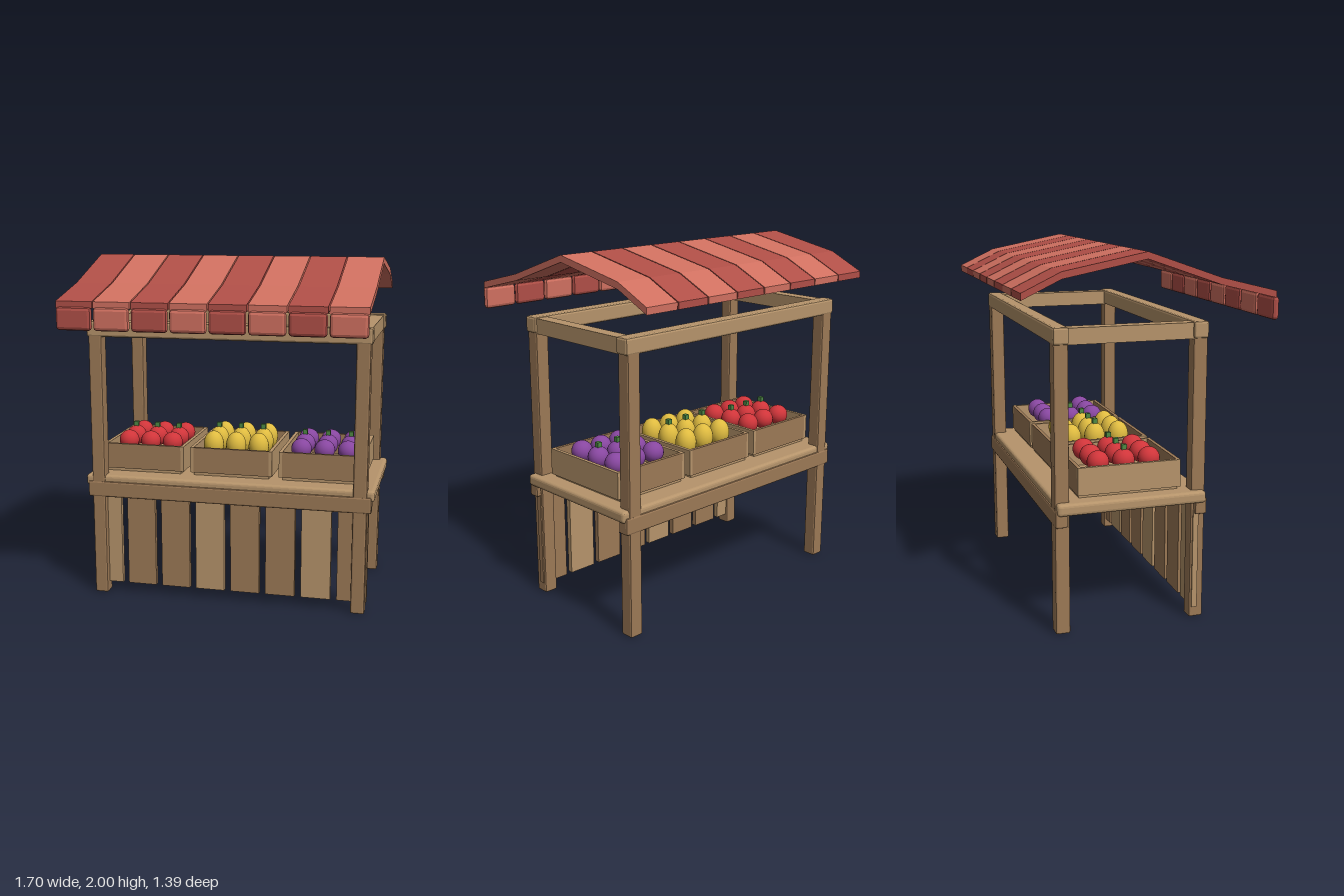
import * as THREE from 'three';
import { RoundedBoxGeometry } from 'three/addons/geometries/RoundedBoxGeometry.js';

const mat = (color, flatShading = false) => new THREE.MeshStandardMaterial({ color, flatShading });

export function createModel() {
  const model = new THREE.Group();
  const darkWood = mat(0x9c7956, true), lightWood = mat(0xb6946b, true);
  const darkCloth = mat(0xb04f47, true), lightCloth = mat(0xd07060, true);
  const stemGreen = mat(0x4f8a45, true);

  const add = (name, geometry, material, x, y, z, parent = model) => {
    const mesh = new THREE.Mesh(geometry, material);
    mesh.name = name;
    mesh.position.set(x, y, z);
    parent.add(mesh);
    return mesh;
  };
  const box = (w, h, d) => new THREE.BoxGeometry(w, h, d);
  const chamfered = (w, h, d, r, segments = 1) => new RoundedBoxGeometry(w, h, d, segments, r);

  const postX = 0.77, frontZ = 0.265, backZ = -0.487;
  const midZ = (frontZ + backZ) / 2;

  // Frame: four posts joined by beams at the top
  for (const z of [frontZ, backZ]) {
    const end = z === frontZ ? 'front' : 'back';
    for (const s of [-1, 1]) {
      add(end + (s > 0 ? 'LeftPost' : 'RightPost'), chamfered(0.08, 1.62, 0.08, 0.01), darkWood, s * postX, 0.81, z);
    }
    add(end + 'TopBeam', chamfered(1.64, 0.09, 0.084, 0.012), lightWood, 0, 1.592, z);
    // Apron under the counter, a little proud of the posts
    const out = z === frontZ ? 1 : -1;
    add(end + 'Apron', chamfered(1.67, 0.095, 0.066, 0.01), darkWood, 0, 0.645, z + out * 0.01);
  }
  for (const s of [-1, 1]) {
    add(s > 0 ? 'leftTopBeam' : 'rightTopBeam', box(0.075, 0.085, frontZ - backZ), lightWood, s * postX, 1.588, midZ);
  }

  // Counter
  add('counterTop', chamfered(1.7, 0.065, 0.82, 0.018, 2), lightWood, 0, 0.696, midZ);

  // Front planks
  for (let i = 0; i < 8; i++) {
    add('frontPlank', box(0.172, 0.56, 0.03), i % 3 === 0 ? lightWood : darkWood, (i - 3.5) * 0.209, 0.34, 0.253);
  }

  // Crates of fruit
  const crateZ = -0.108, crateW = 0.49, crateD = 0.57, wall = 0.02;
  const stock = [
    { name: 'redFruit', color: 0xd0353a, height: 0.06 },
    { name: 'yellowFruit', color: 0xdfbb40, height: 0.08 },
    { name: 'purpleFruit', color: 0x8847a0, height: 0.06 },
  ];
  stock.forEach(({ name, color, height }, i) => {
    const crate = new THREE.Group();
    crate.name = name + 'Crate';
    crate.position.set((i - 1) * 0.53, 0, crateZ);
    model.add(crate);
    add('crateFloor', box(crateW - 0.04, 0.045, crateD - 0.02), lightWood, 0, 0.748, 0, crate);
    for (const s of [-1, 1]) {
      add('crateEndBoard', box(crateW - 2 * wall, 0.15, wall), darkWood, 0, 0.82, s * (crateD - wall) / 2, crate);
      add('crateSideBoard', box(wall, 0.15, crateD), lightWood, s * (crateW - wall) / 2, 0.82, 0, crate);
    }
    // Three by three fruit, with stems along the middle row
    const skin = mat(color);
    for (let col = -1; col <= 1; col++) {
      for (let row = -1; row <= 1; row++) {
        const x = col * 0.137, z = row * 0.143;
        add(name, new THREE.SphereGeometry(0.06, 24, 16), skin, x, 0.89, z, crate).scale.y = height / 0.06;
        if (row === 0) add('stem', box(0.027, 0.04, 0.027), stemGreen, x, 0.895 + height, z, crate);
      }
    }
  });

  // Awning: striped cloth panels following one bent section, each with a hanging flap
  const ridge = [[0.672, 1.783], [0.36, 1.86], [-0.042, 2.0], [-0.487, 1.913], [-0.693, 1.815]];
  const section = [...ridge, ...ridge.map(([z, y]) => [z, y - 0.037]).reverse()];
  const shape = new THREE.Shape(section.map(([z, y]) => new THREE.Vector2(z, y)));
  const pitch = 0.2108, width = 0.204;
  const panel = new THREE.ExtrudeGeometry(shape, { depth: width, bevelEnabled: false });
  panel.rotateY(-Math.PI / 2).translate(width / 2, 0, 0);
  const flap = chamfered(0.2, 0.125, 0.04, 0.018);
  for (let i = 0; i < 8; i++) {
    const cloth = i % 2 ? lightCloth : darkCloth;
    const x = (i - 3.5) * pitch - 0.004;
    add('awningPanel', panel, cloth, x, 0, 0);
    add('awningFlap', flap, cloth, x, 1.69, 0.673);
  }

  return model;
}
